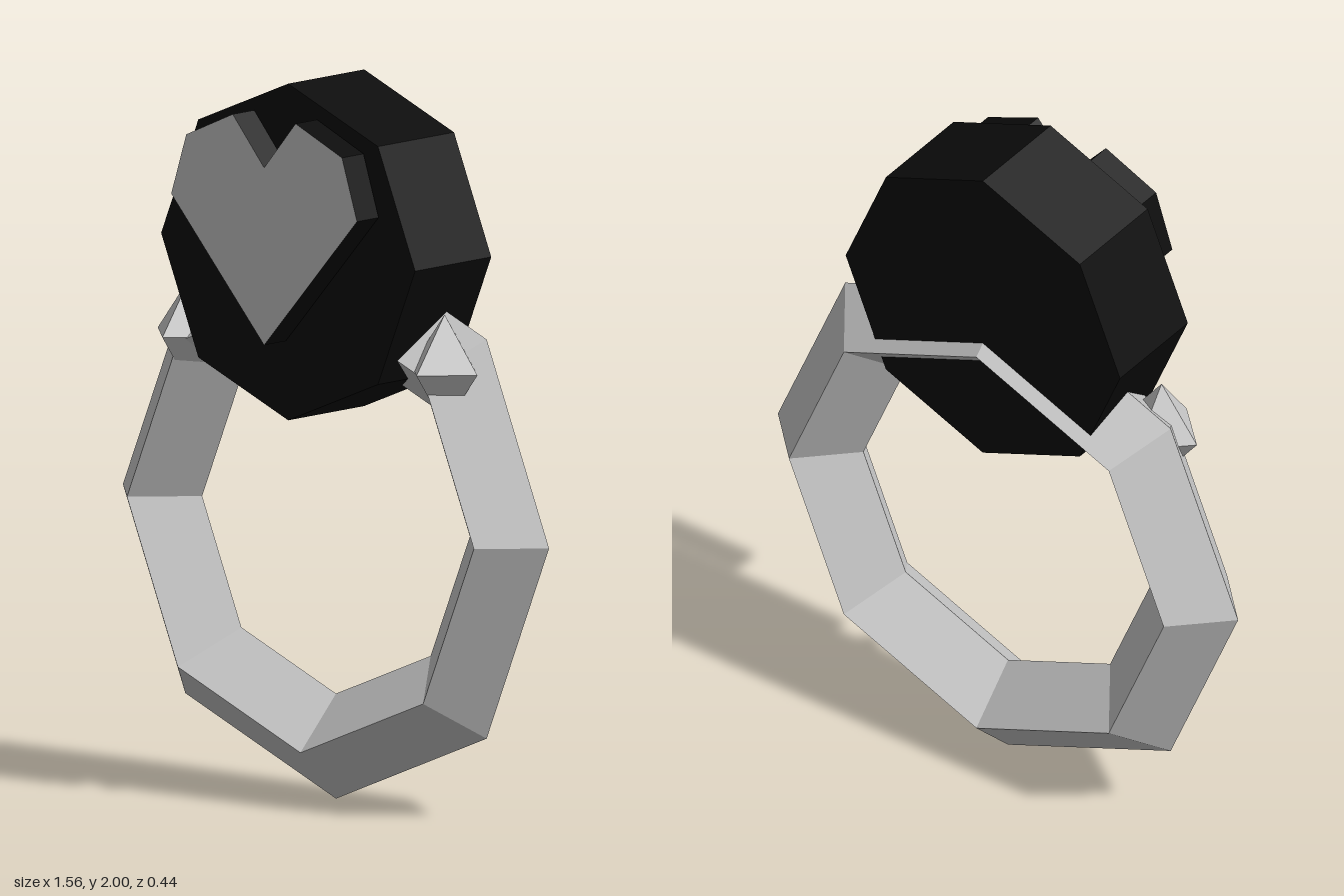
import * as THREE from 'three';

const grey = new THREE.MeshStandardMaterial({ color: 0xcccccc, flatShading: true });
const black = new THREE.MeshStandardMaterial({ color: 0x0b0b0b, flatShading: true });

export function createModel() {
  const model = new THREE.Group();
  model.name = 'heartRing';

  const add = (name, geometry, material, x, y, z) => {
    const mesh = new THREE.Mesh(geometry, material);
    mesh.name = name;
    mesh.position.set(x, y, z);
    model.add(mesh);
    return mesh;
  };

  // Eight-sided band with a diamond cross-section
  add('band', new THREE.TorusGeometry(0.635, 0.145, 4, 8), grey, 0, 0.78, -0.075);

  // Octagonal disc facing forward
  const disc = new THREE.CylinderGeometry(0.465, 0.465, 0.31, 8).rotateX(Math.PI / 2);
  add('disc', disc, black, 0, 1.535, -0.035);

  // Faceted heart floating just in front of the disc, with dark sides
  const right = [[0.115, 1.915], [0.285, 1.84], [0.34, 1.67]];
  const left = right.map(([x, y]) => [-x, y]).reverse();
  const outline = [[0, 1.78], ...right, [0, 1.29], ...left];
  const heart = new THREE.ExtrudeGeometry(
    new THREE.Shape(outline.map(([x, y]) => new THREE.Vector2(x, y))),
    { depth: 0.088, bevelEnabled: false }
  );
  add('heart', heart, [grey, black], 0, 0, 0.13);

  // Pointed studs on both shoulders of the band
  for (const side of [1, -1]) {
    const stud = new THREE.OctahedronGeometry(1).scale(0.12, 0.155, 0.115);
    add(side > 0 ? 'leftStud' : 'rightStud', stud, grey, side * 0.465, 1.245, 0);
  }

  return model;
}
